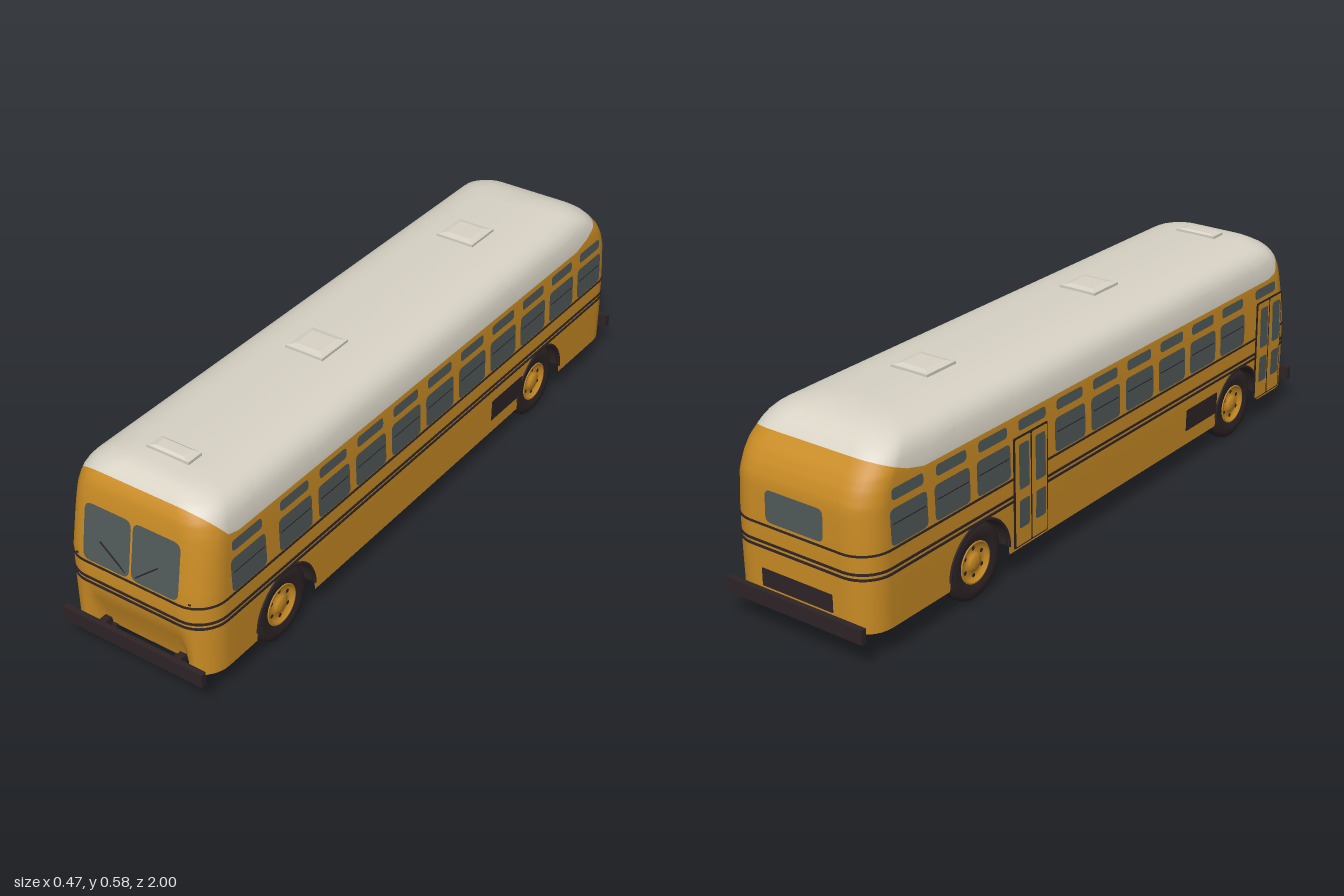
import * as THREE from 'three';

const mat = (name, color, side = THREE.FrontSide) => {
  const m = new THREE.MeshStandardMaterial({ color, side });
  m.name = name;
  return m;
};
const yellow = mat('school yellow', 0xc98b24);
const cream = mat('roof cream', 0xd8d3c5);
const dark = mat('dark rubber', 0x2e2426, THREE.DoubleSide);
const glass = mat('window glass', 0x505959);

// Body levels: height, half width, front z, rear z
const LEVELS = [
  [0.08, 0.226, 0.98, -0.975], [0.2, 0.228, 0.98, -0.975], [0.3, 0.227, 0.98, -0.975],
  [0.4, 0.224, 0.964, -0.971], [0.44, 0.222, 0.957, -0.956], [0.47, 0.219, 0.951, -0.938],
  [0.5, 0.212, 0.943, -0.91], [0.52, 0.202, 0.932, -0.89], [0.536, 0.187, 0.918, -0.868],
  [0.548, 0.165, 0.9, -0.845], [0.557, 0.135, 0.882, -0.815], [0.562, 0.1, 0.86, -0.785],
  [0.565, 0.05, 0.82, -0.75], [0.566, 0, 0.78, -0.72]];
const TOP = LEVELS.length - 1;
const AXLES = [0.67, -0.56], ARCH = 0.118, HUB_Y = 0.105;

function level(t) {
  const i = Math.min(Math.floor(t), TOP - 1);
  return LEVELS[i].map((a, k) => THREE.MathUtils.lerp(a, LEVELS[i + 1][k], t - i));
}
function firstAbove(test) {
  let lo = 0, hi = TOP;
  for (let i = 0; i < 30; i++) {
    const m = (lo + hi) / 2;
    if (test(m)) hi = m; else lo = m;
  }
  return hi;
}
const levelAt = y => level(firstAbove(t => level(t)[0] >= y));

// Columns round the plan: [corner centre x, z, outward x, z]
function makeColumns() {
  let zs = [0.86, 0.35, 0.2, 0.05, -0.1, -0.25, -0.35, -0.78, -0.85];
  for (const a of AXLES) {
    zs.push(a - 0.1195, a + 0.1195);
    for (let k = 0; k <= 16; k++) zs.push(a + ARCH * Math.cos(k * Math.PI / 16));
  }
  zs = zs.sort((a, b) => b - a).map(z => (z - 0.0025) / 0.8975);
  const xs = [0.95, 0.88, 0.8, 0.6, 0.3, 0, -0.3, -0.6, -0.8, -0.88, -0.95];
  const corner = (sx, sz, flip) => Array.from({ length: 9 }, (_, k) => {
    const a = (flip ? 8 - k : k) * Math.PI / 16;
    return [sx, sz, sx * Math.cos(a), sz * Math.sin(a)];
  });
  return [...zs.map(z => [1, z, 1, 0]), ...corner(1, -1), ...xs.map(x => [x, -1, 0, -1]),
    ...corner(-1, -1, true), ...zs.map(z => [-1, z, -1, 0]).reverse(), ...corner(-1, 1),
    ...xs.map(x => [-x, 1, 0, 1]), ...corner(1, 1, true)];
}
const COLS = makeColumns();
const smooth = THREE.MathUtils.smoothstep;

function surface([cx, cz, ax, az], t, off = 0) {
  const [y, w, zf, zb] = level(t);
  const r = Math.min(0.08, w * 0.45), half = (zf - zb) / 2;
  const x = cx * (w - r) + ax * (r + off);
  let z = (zf + zb) / 2 + cz * (half - r) + az * (r + off);
  // Scooped lower nose
  if (z > 0.88) z -= 0.04 * (1 - smooth(y, 0.08, 0.22)) * (1 - smooth(Math.abs(x), 0.13, 0.17));
  return [x, y, z];
}
const inArch = z => AXLES.find(a => Math.abs(z - a) < ARCH + 0.0005);

// Skin a stack of closed loops
function skin(rows) {
  const n = COLS.length, index = [];
  for (let j = 0; j < rows.length - 1; j++) for (let i = 0; i < n; i++) {
    const a = j * n + i, b = j * n + (i + 1) % n;
    index.push(a, b, b + n, a, b + n, a + n);
  }
  const g = new THREE.BufferGeometry();
  g.setAttribute('position', new THREE.Float32BufferAttribute(rows.flat(2), 3));
  g.setIndex(index);
  g.computeVertexNormals();
  return g;
}

function bodyGeometry() {
  const LOW = 20, HIGH = 16;
  const spans = COLS.map(c => {
    const bottom = firstAbove(t => {
      const [x, y, z] = surface(c, t), a = c[3] === 0 ? inArch(z) : undefined;
      return a === undefined || y >= HUB_Y + Math.sqrt(Math.max(0, ARCH ** 2 - (z - a) ** 2));
    });
    const paint = firstAbove(t => {
      const [, y, z] = surface(c, t);
      return y > 0.452 + Math.max(0, (z - 0.865) * 1.3, (-0.78 - z) * 0.42);
    });
    return [bottom, paint];
  });
  const rows = [];
  for (let j = 0; j <= LOW + HIGH; j++) rows.push(COLS.map((c, i) => {
    const [b, p] = spans[i];
    return surface(c, j <= LOW ? b + (p - b) * j / LOW : p + (TOP - p) * (j - LOW) / HIGH);
  }));
  const g = skin(rows), perRow = COLS.length * 6;
  g.addGroup(0, LOW * perRow, 0);
  g.addGroup(LOW * perRow, HIGH * perRow, 1);
  return g;
}

function roundedRect(w, h, r) {
  const s = new THREE.Shape(), x = w / 2, y = h / 2;
  s.moveTo(-x + r, -y).lineTo(x - r, -y).quadraticCurveTo(x, -y, x, -y + r);
  s.lineTo(x, y - r).quadraticCurveTo(x, y, x - r, y);
  s.lineTo(-x + r, y).quadraticCurveTo(-x, y, -x, y - r);
  s.lineTo(-x, -y + r).quadraticCurveTo(-x, -y, -x + r, -y);
  return s;
}

export function createModel() {
  const bus = new THREE.Group();
  bus.name = 'bus';
  const add = (name, geo, material, x = 0, y = 0, z = 0, parent = bus) => {
    const m = new THREE.Mesh(geo, material);
    m.name = name;
    m.position.set(x, y, z);
    parent.add(m);
    return m;
  };
  const box = (name, m, w, h, d, x, y, z) => add(name, new THREE.BoxGeometry(w, h, d), m, x, y, z);
  // Thin plate that follows a body face; c is x or z along that face
  const panel = (name, face, m, c, y, w, h, r, off) => {
    const g = new THREE.ShapeGeometry(roundedRect(w, h, r), 5), p = g.attributes.position;
    for (let i = 0; i < p.count; i++) {
      const a = p.getX(i), py = y + p.getY(i), [, hw, zf, zb] = levelAt(py);
      if (face === 'front') p.setXYZ(i, c + a, py, zf + off);
      else if (face === 'back') p.setXYZ(i, c - a, py, zb - off);
      else if (face === 'left') p.setXYZ(i, hw + off, py, c - a);
      else p.setXYZ(i, -hw - off, py, c + a);
    }
    g.computeVertexNormals();
    return add(name, g, m);
  };

  // Shell, floor and trim lines
  add('body and roof', bodyGeometry(), [yellow, cream]);
  const outline = COLS.map(c => {
    const [x, , z] = surface(c, 0);
    return new THREE.Vector2(c[3] === 0 && inArch(z) !== undefined ? Math.sign(x) * 0.1 : x, z);
  });
  add('floor', new THREE.ShapeGeometry(new THREE.Shape(outline)).rotateX(Math.PI / 2), yellow, 0, 0.08);
  for (const [y, h] of [[0.288, 0.005], [0.24, 0.006], [0.226, 0.006]]) {
    const ring = (dy, off) => COLS.map(c => surface(c, firstAbove(t => level(t)[0] >= y + dy), off));
    const g = skin([ring(-h / 2, 0), ring(-h / 2, 0.003), ring(h / 2, 0.003), ring(h / 2, 0)]).toNonIndexed();
    g.computeVertexNormals();
    add('trim line', g, dark);
  }

  // Side windows and doors
  const DOORS = [0.83, -0.355];
  const bays = [0.812, ...Array.from({ length: 10 }, (_, i) => 0.626 - i * 0.1613)];
  for (const side of ['left', 'right']) for (const z of bays) {
    panel('upper window', side, glass, z, 0.425, 0.115, 0.03, 0.012, 0.003);
    if (side === 'right' && DOORS.some(d => Math.abs(d - z) < 0.08)) continue;
    panel('side window', side, glass, z, 0.343, 0.134, 0.095, 0.016, 0.003);
    panel('window bar', side, dark, z, 0.352, 0.12, 0.003, 0.001, 0.0045);
  }
  for (const z of DOORS) {
    panel('door seal', 'right', dark, z, 0.245, 0.146, 0.31, 0.006, 0.006);
    for (const s of [-1, 1]) {
      const c = z + s * 0.0345;
      panel('door leaf', 'right', yellow, c, 0.245, 0.064, 0.3, 0.005, 0.008);
      panel('door window', 'right', glass, c, 0.317, 0.042, 0.125, 0.008, 0.0105);
      panel('door lower window', 'right', glass, c, 0.185, 0.042, 0.08, 0.008, 0.0105);
    }
  }
  panel('side vent', 'left', dark, -0.372, 0.158, 0.165, 0.066, 0.004, 0.004);
  panel('side vent', 'right', dark, 0.465, 0.158, 0.165, 0.066, 0.004, 0.004);

  // Front and rear details
  for (const s of [-1, 1]) {
    panel('windshield', 'front', glass, s * 0.0755, 0.377, 0.145, 0.155, 0.022, 0.004);
    const wiper = box('wiper', dark, 0.104, 0.003, 0.003, s * 0.05, 0.338, 0.981);
    wiper.rotation.z = s * 0.7;
    box('front marker', dark, 0.006, 0.004, 0.006, s * 0.175, 0.297, 0.973);
    box('bumper', dark, 0.442, 0.04, 0.016, 0, 0.099, s * 0.992);
    for (const x of [-0.12, 0.12]) box('bumper bracket', dark, 0.02, 0.02, 0.07, x, 0.09, s * 0.955);
  }
  panel('rear window', 'back', glass, 0, 0.343, 0.185, 0.085, 0.018, 0.004);
  panel('engine vent', 'back', dark, 0, 0.145, 0.23, 0.05, 0.004, 0.004);

  // Roof hatches
  for (const [z, w, d] of [[-0.492, 0.118, 0.114], [0.222, 0.118, 0.114], [0.795, 0.13, 0.05]]) {
    box('hatch base', cream, w, 0.012, d, 0, 0.566, z);
    const lid = new THREE.CylinderGeometry(0.45, 0.7071, 0.005, 4).rotateY(Math.PI / 4).scale(w, 1, d);
    add('hatch lid', lid.toNonIndexed(), cream, 0, 0.5735, z).geometry.computeVertexNormals();
  }

  // Wheels
  const lathe = pts => new THREE.LatheGeometry(pts.map(p => new THREE.Vector2(...p)), 36).rotateZ(-Math.PI / 2);
  const tyre = lathe([[0.056, -0.02], [0.075, -0.025], [0.092, -0.024], [0.103, -0.017], [0.105, -0.008],
    [0.105, 0.008], [0.103, 0.017], [0.092, 0.024], [0.075, 0.025], [0.056, 0.02]]);
  const rim = lathe([[0.058, 0.016], [0.058, 0.022], [0.052, 0.023], [0.047, 0.013], [0.028, 0.013],
    [0.024, 0.02], [0.014, 0.023], [0, 0.024]].reverse());
  rim.computeVertexNormals();
  const rimMaterial = mat('rim yellow', 0xc98b24, THREE.DoubleSide);
  for (const s of [-1, 1]) for (const a of AXLES) {
    const wheel = new THREE.Group();
    wheel.name = 'wheel';
    wheel.position.set(s * 0.19, HUB_Y, a);
    if (s < 0) wheel.rotation.y = Math.PI;
    bus.add(wheel);
    add('tyre', tyre, dark, 0, 0, 0, wheel);
    add('rim', rim, rimMaterial, 0, 0, 0, wheel);
    for (let k = 0; k < 6; k++) {
      const t = k * Math.PI / 3;
      add('rim hole', new THREE.CircleGeometry(0.006, 10).rotateY(Math.PI / 2), dark,
        0.0145, 0.038 * Math.cos(t), 0.038 * Math.sin(t), wheel);
    }
    if (a < 0) add('inner tyre', tyre, dark, -0.055, 0, 0, wheel);
    // Wheel well and arch lip
    const well = new THREE.CylinderGeometry(ARCH, ARCH, 0.126, 24, 1, true, 0, Math.PI).rotateZ(Math.PI / 2);
    const p = well.attributes.position;
    for (let i = 0; i < p.count; i++) {
      const t = Math.PI * (i % 25) / 24;
      p.setXYZ(i, i < 25 ? -0.063 : 0.063, ARCH * Math.sin(t), ARCH * Math.cos(t));
    }
    well.computeVertexNormals();
    add('wheel well', well, dark, s * 0.163, HUB_Y, a);
    add('well wall', new THREE.CircleGeometry(ARCH, 24, 0, Math.PI).rotateY(Math.PI / 2), dark, s * 0.1, HUB_Y, a);
    add('arch lip', new THREE.TorusGeometry(ARCH, 0.005, 6, 28, Math.PI).rotateY(Math.PI / 2), dark, s * 0.227, HUB_Y, a);
  }

  // Underside
  for (const a of AXLES) {
    add('axle', new THREE.CylinderGeometry(0.012, 0.012, 0.36, 12).rotateZ(Math.PI / 2), dark, 0, HUB_Y, a);
  }
  add('differential', new THREE.SphereGeometry(0.03, 16, 12), dark, 0, 0.095, -0.56);
  for (const x of [-0.1, 0.1]) box('chassis rail', dark, 0.014, 0.012, 1.84, x, 0.077, 0.03);
  box('underfloor box', dark, 0.04, 0.015, 0.22, 0.17, 0.08, -0.2);
  return bus;
}
